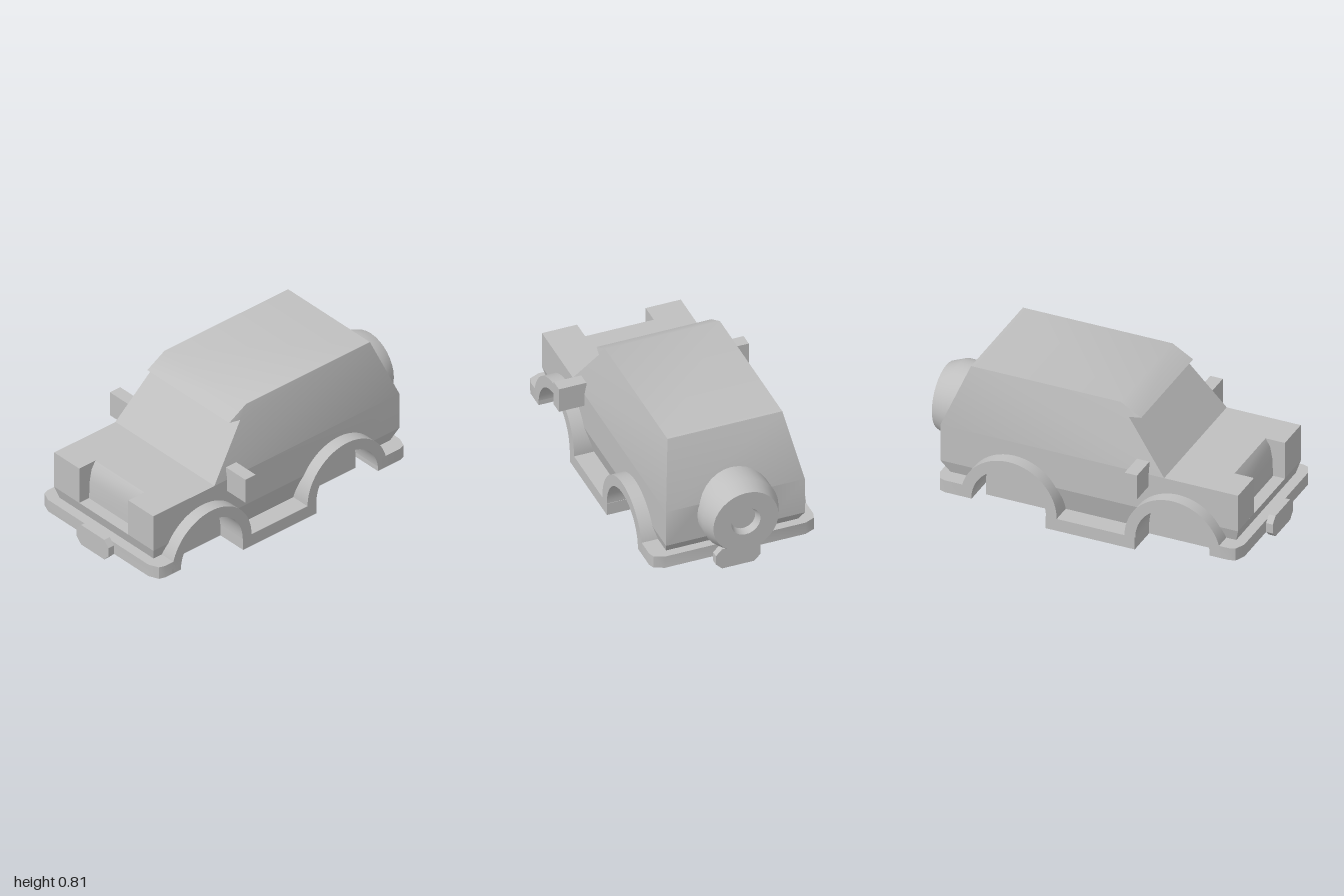
import * as THREE from 'three';
import { mergeGeometries, toCreasedNormals } from 'three/addons/utils/BufferGeometryUtils.js';

const paint = new THREE.MeshStandardMaterial({ color: 0xbfbfbf });
paint.name = 'greyPaint';

const ARCHES = [-0.41, 0.565]; // z centres of the wheel arches
const ARCH_Y = 0.075;
const CUT = 0.25;              // cut-out radius, hidden inside the flares

const polygon = (pts) => new THREE.Shape(pts.map(([a, b]) => new THREE.Vector2(a, b)));

// Side profile (z, y) extruded across x from x0 to x1
function slab(shape, x0, x1) {
  return new THREE.ExtrudeGeometry(shape, { depth: x1 - x0, bevelEnabled: false, curveSegments: 20 })
    .rotateY(-Math.PI / 2).translate(x1, 0, 0);
}

// Half width of the body at height y
function halfWidth(y, z) {
  if (y > 0.7 && z > 0.3) return 0.335; // visor lip
  if (y > 0.445) return 0.405 - (y - 0.445) * 0.07 / 0.37;
  if (y < 0.22) return 0.405 - (0.22 - y) * 0.02 / 0.07;
  return 0.405;
}

// Move the outermost faces (x = ±1) onto the tapered body sides
function taper(geo) {
  const p = geo.attributes.position;
  for (let i = 0; i < p.count; i++) {
    const x = p.getX(i);
    if (Math.abs(x) > 0.9) p.setX(i, Math.sign(x) * halfWidth(p.getY(i), p.getZ(i)));
  }
  return geo;
}

export function createModel() {
  const group = new THREE.Group();
  const add = (name, geo, crease = 0.6) => {
    const mesh = new THREE.Mesh(toCreasedNormals(geo, crease), paint);
    mesh.name = name;
    group.add(mesh);
  };
  const box = (name, w, y0, y1, z0, z1, x = 0) =>
    add(name, new THREE.BoxGeometry(w, y1 - y0, z1 - z0).translate(x, (y0 + y1) / 2, (z0 + z1) / 2));

  // Cabin with visor lip over the windscreen
  const cabin = slab(polygon([[0.48, 0.445], [0.245, 0.742], [0.312, 0.745], [0.19, 0.815],
    [-0.7, 0.815], [-0.85, 0.445]]), -1, 1);

  // Body flanks with wheel arch cut-outs
  const flank = polygon([[0.92, 0.445], [-0.85, 0.445], [-0.85, 0.22]]);
  const a = Math.asin((0.22 - ARCH_Y) / CUT);
  for (const z of ARCHES) flank.absarc(z, ARCH_Y, CUT, Math.PI - a, a, true);
  flank.lineTo(0.92, 0.22);

  // Middle of the body, with the curved grille set back
  const middle = slab(polygon([[-0.85, 0.445], [-0.85, 0.22], [0.85, 0.22], [0.845, 0.33],
    [0.832, 0.4], [0.805, 0.445]]), -0.2, 0.2);
  add('body', taper(mergeGeometries([cabin, slab(flank, 0.2, 1), slab(flank, -1, -0.2), middle])));

  // Inward sloping lower body, in three pieces between the arches
  const [rz, fz] = ARCHES;
  const t = CUT * Math.cos(a);
  const lower = [
    [[0.92, 0.22], [fz + t, 0.22], [fz + 0.24, 0.15], [0.9, 0.15]],
    [[fz - t, 0.22], [rz + t, 0.22], [rz + CUT, 0.075], [fz - CUT, 0.075]],
    [[rz - t, 0.22], [-0.85, 0.22], [-0.8, 0.15], [rz - 0.24, 0.15]],
  ];
  add('lowerBody', taper(mergeGeometries(lower.map((p) => slab(polygon(p), -1, 1)))), 0.1);

  // Floor pan, whose sides are the inner walls of the wheel wells, and sills
  box('floorPan', 0.59, 0, 0.4, -0.63, 0.785);
  box('sills', 0.96, 0, 0.075, -0.19, 0.34);

  // Wheel arch flares
  for (const z of ARCHES) {
    const ring = new THREE.Shape();
    ring.absarc(z, ARCH_Y, 0.286, 0, Math.PI, false);
    ring.absarc(z, ARCH_Y, 0.222, Math.PI, 0, true);
    for (const [x0, x1] of [[0.29, 0.48], [-0.48, -0.29]]) add('wheelArch', slab(ring, x0, x1));
  }

  // Bumpers with softened corners, drawn in plan
  const bumper = (name, half) => {
    const mirrored = half.map(([x, z]) => [-x, z]).reverse();
    add(name, new THREE.ExtrudeGeometry(polygon([...half, ...mirrored]), { depth: 0.075, bevelEnabled: false })
      .rotateX(Math.PI / 2).translate(0, 0.15, 0));
  };
  bumper('frontBumper', [[0.48, 0.785], [0.48, 0.9], [0.468, 0.935], [0.41, 0.96]]);
  bumper('rearBumper', [[0.48, -0.63], [0.48, -0.79], [0.468, -0.825], [0.41, -0.85]]);

  // Blank eight-sided plates
  const plate = (name, y, z) => {
    const w = 0.13, h = 0.064, c = 0.036;
    const shape = polygon([[w, h - c], [w - c, h], [c - w, h], [-w, h - c],
      [-w, c - h], [c - w, -h], [w - c, -h], [w, c - h]]);
    add(name, new THREE.ExtrudeGeometry(shape, { depth: 0.04, bevelEnabled: false }).translate(0, y, z));
  };
  plate('frontPlate', 0.103, 0.96);
  plate('rearPlate', 0.074, -0.89);

  // Spare wheel on the tail, with a dished hub
  const tyre = [[0.222, 0.75], [0.222, 0.92], [0.19, 1], [0.085, 1], [0.07, 0.96], [0, 0.96]];
  add('spareWheel', new THREE.LatheGeometry(tyre.map(([r, y]) => new THREE.Vector2(r, y)), 32)
    .rotateX(-Math.PI / 2).translate(0, 0.373, 0));

  // Door mirrors
  for (const s of [-1, 1]) box('doorMirror', 0.16, 0.37, 0.52, 0.314, 0.388, s * 0.474);

  return group;
}
